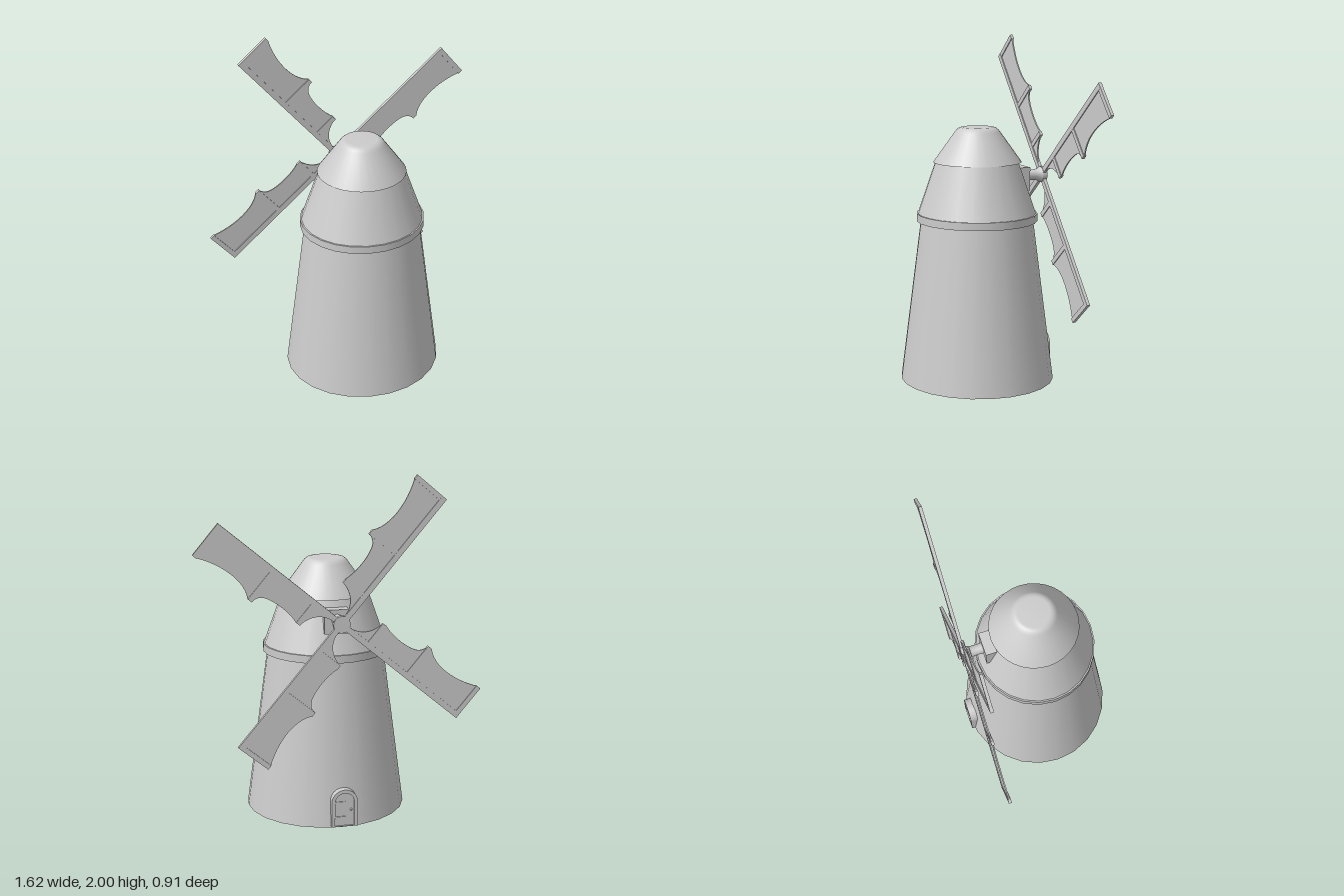
import * as THREE from 'three';

const grey = new THREE.MeshStandardMaterial({ color: 0xcccccc });
const greyDouble = new THREE.MeshStandardMaterial({ color: 0xcccccc, side: THREE.DoubleSide });

function add(parent, name, geometry, x = 0, y = 0, z = 0, material = grey) {
  const mesh = new THREE.Mesh(geometry, material);
  mesh.name = name;
  mesh.position.set(x, y, z);
  parent.add(mesh);
  return mesh;
}

const box = (w, h, d) => new THREE.BoxGeometry(w, h, d);

// Open tapered wall between two heights
function wall(parent, name, y0, r0, y1, r1, sides = 24) {
  const g = new THREE.CylinderGeometry(r1, r0, y1 - y0, sides, 1, true);
  return add(parent, name, g, 0, (y0 + y1) / 2, 0, greyDouble);
}

// Flat ledge between two radii
function ledge(parent, name, y, inner, outer, up) {
  const g = new THREE.RingGeometry(inner, outer, 24).rotateX(up ? -Math.PI / 2 : Math.PI / 2);
  return add(parent, name, g, 0, y, 0, greyDouble);
}

function extrude(shape, depth, z0) {
  const g = new THREE.ExtrudeGeometry(shape, { depth, bevelEnabled: false, curveSegments: 12 });
  return g.translate(0, 0, z0);
}

// Arched outline standing on y = 0
function arch(Type, r, springY, bottom = 0) {
  const s = new Type();
  s.moveTo(-r, bottom);
  s.lineTo(r, bottom);
  s.lineTo(r, springY);
  s.absarc(0, springY, r, 0, Math.PI, false);
  s.lineTo(-r, bottom);
  return s;
}

// One sail along +x, its cloth hanging towards -y
function makeSail() {
  const sail = new THREE.Group();
  sail.name = 'sail';
  const cloth = new THREE.Shape();
  cloth.moveTo(0.06, 0);
  cloth.lineTo(0.06, -0.016);
  cloth.quadraticCurveTo(0.16, -0.03, 0.185, -0.145);
  cloth.lineTo(0.21, -0.147);
  cloth.bezierCurveTo(0.28, -0.12, 0.4, -0.125, 0.445, -0.15);
  cloth.quadraticCurveTo(0.475, -0.17, 0.478, -0.205);
  cloth.lineTo(0.505, -0.205);
  cloth.bezierCurveTo(0.58, -0.135, 0.74, -0.145, 0.865, -0.2);
  cloth.lineTo(0.89, -0.2);
  cloth.lineTo(0.89, 0);
  add(sail, 'sailPanel', extrude(cloth, 0.008, -0.004));
  add(sail, 'sailStock', box(0.89, 0.032, 0.02), 0.445, 0, 0);
  // Cross bars: inner, middle and tip
  for (const [u, end] of [[0.197, -0.146], [0.491, -0.205], [0.876, -0.201]]) {
    add(sail, 'sailCrossBar', box(0.028, -end, 0.018), u, end / 2, 0);
  }
  return sail;
}

function makeDoor() {
  const door = new THREE.Group();
  door.name = 'door';
  const frame = arch(THREE.Shape, 0.076, 0.145);
  frame.holes.push(arch(THREE.Path, 0.056, 0.145, 0.004));
  add(door, 'doorFrame', extrude(frame, 0.055, 0.4));
  add(door, 'doorPanel', extrude(arch(THREE.Shape, 0.057, 0.145), 0.046, 0.4));
  // Hinge straps and handle
  for (const y of [0.055, 0.145]) add(door, 'doorHinge', box(0.06, 0.01, 0.006), -0.025, y, 0.448);
  add(door, 'doorHandle', new THREE.SphereGeometry(0.007, 8, 6), 0.038, 0.1, 0.449);
  door.rotation.y = Math.PI;
  door.position.set(-0.02, 0.01, 0);
  return door;
}

export function createModel() {
  const model = new THREE.Group();
  model.name = 'windmill';

  // Tower, slightly oval in plan and open underneath
  const tower = new THREE.Group();
  tower.name = 'tower';
  tower.position.set(-0.006, 0, 0.004);
  tower.scale.z = 0.96;
  wall(tower, 'towerWall', 0.004, 0.467, 0.95, 0.34);
  ledge(tower, 'bandUnderside', 0.945, 0.335, 0.365, false);
  wall(tower, 'band', 0.945, 0.365, 0.99, 0.365);
  ledge(tower, 'bandTop', 0.99, 0.345, 0.365, true);
  wall(tower, 'upperWall', 0.985, 0.358, 1.3, 0.246);
  model.add(tower);

  // Roof cap with a rounded shoulder
  const roofProfile = [[0.235, 1.29], [0.257, 1.288], [0.132, 1.462], [0.122, 1.475], [0.108, 1.486], [0.09, 1.49], [0, 1.49]];
  const roof = new THREE.LatheGeometry(roofProfile.map(([r, y]) => new THREE.Vector2(r, y)), 32);
  add(model, 'roof', roof, -0.006, 0, 0, greyDouble);

  // Bearing block and flared shaft
  add(model, 'bearingBlock', box(0.14, 0.138, 0.11), -0.005, 1.177, -0.253);
  const shaftProfile = [[0.032, 0.3], [0.03, 0.34], [0.031, 0.37], [0.037, 0.395], [0.048, 0.41]];
  const shaft = new THREE.LatheGeometry(shaftProfile.map(([r, y]) => new THREE.Vector2(r, y)), 20).rotateX(-Math.PI / 2);
  add(model, 'shaft', shaft, -0.005, 1.19, 0, greyDouble);

  // Rotor: hub and four sails
  const rotor = new THREE.Group();
  rotor.name = 'rotor';
  rotor.position.set(-0.005, 1.19, -0.42);
  add(rotor, 'hub', new THREE.CylinderGeometry(0.048, 0.048, 0.026, 20).rotateX(Math.PI / 2), 0, 0, -0.001);
  for (let i = 0; i < 4; i++) {
    const sail = makeSail();
    sail.rotation.z = THREE.MathUtils.degToRad(40 + 90 * i);
    rotor.add(sail);
  }
  model.add(rotor);

  model.add(makeDoor());
  return model;
}
